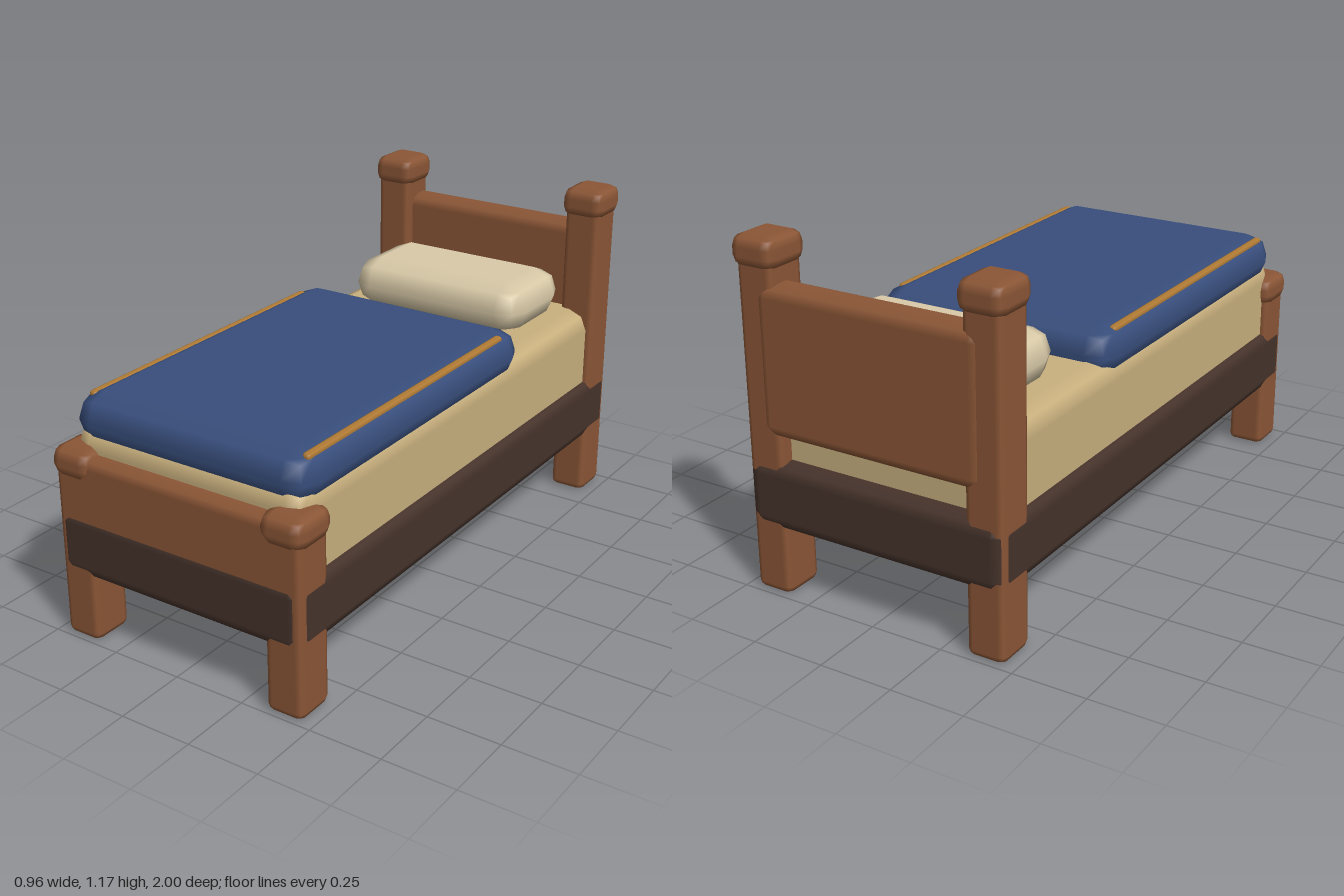
import * as THREE from 'three';
import { RoundedBoxGeometry } from 'three/addons/geometries/RoundedBoxGeometry.js';

const makeMaterial = (name, color) => {
  const m = new THREE.MeshStandardMaterial({ color });
  m.name = name;
  return m;
};

export function createModel() {
  const bed = new THREE.Group();
  bed.name = 'bed';

  const wood = makeMaterial('warm wood', 0x8b5636);
  const darkWood = makeMaterial('dark wood', 0x46332b);
  const linen = makeMaterial('mattress linen', 0xc9b07e);
  const pillowCloth = makeMaterial('pillow cloth', 0xd9caa8);
  const blue = makeMaterial('blue blanket', 0x384e7c);
  const gold = makeMaterial('gold trim', 0xb07a34);

  // Softly bevelled block given by its extents on each axis
  const block = (name, material, [x0, x1], [y0, y1], [z0, z1], radius) => {
    const geometry = new RoundedBoxGeometry(x1 - x0, y1 - y0, z1 - z0, 1, radius);
    const mesh = new THREE.Mesh(geometry, material);
    mesh.name = name;
    mesh.position.set((x0 + x1) / 2, (y0 + y1) / 2, (z0 + z1) / 2);
    bed.add(mesh);
    return mesh;
  };

  // Frame and end boards
  block('bedFrame', darkWood, [-0.468, 0.468], [0.225, 0.455], [-0.994, 0.994], 0.045);
  block('headboard', wood, [-0.4, 0.4], [0.54, 1.03], [-0.994, -0.874], 0.04);
  block('footboard', wood, [-0.4, 0.4], [0.28, 0.645], [0.868, 0.988], 0.035);

  // Bedding
  block('mattress', linen, [-0.442, 0.442], [0.38, 0.722], [-0.937, 0.937], 0.07);
  block('blanket', blue, [-0.445, 0.445], [0.645, 0.825], [-0.357, 0.935], 0.085);
  block('pillow', pillowCloth, [-0.348, 0.348], [0.705, 0.887], [-0.84, -0.46], 0.088);

  // Posts, caps and blanket trim on both sides
  for (const [side, s] of [['left', 1], ['right', -1]]) {
    const span = (a, b) => (s > 0 ? [a, b] : [-b, -a]);
    block(side + 'HeadPost', wood, span(0.332, 0.465), [0, 1.12], [-0.985, -0.836], 0.024);
    block(side + 'HeadCap', wood, span(0.318, 0.478), [1.07, 1.175], [-1, -0.824], 0.038);
    block(side + 'FootPost', wood, span(0.332, 0.465), [0, 0.62], [0.839, 0.988], 0.024);
    block(side + 'FootCap', wood, span(0.318, 0.478), [0.56, 0.665], [0.824, 1], 0.042);
    block(side + 'BlanketTrim', gold, span(0.388, 0.418), [0.787, 0.815], [-0.25, 0.867], 0.012);
  }

  return bed;
}
